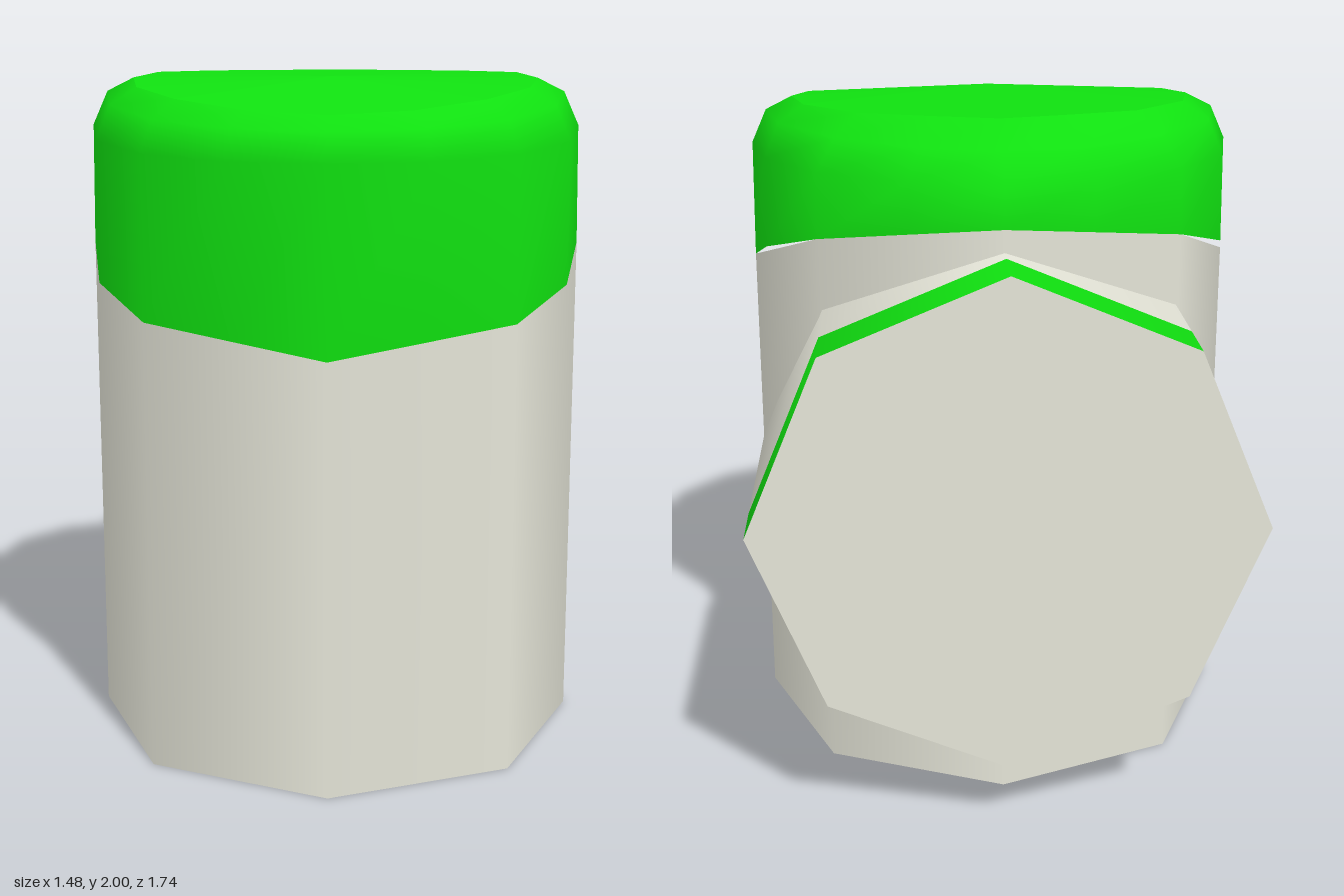
import * as THREE from 'three';

const cream = new THREE.MeshStandardMaterial({ color: 0xe6e6d9 });
const green = new THREE.MeshStandardMaterial({ color: 0x10e010 });

const R = 0.74, CZ = 0.125;                             // column radius and axis
const slantY = (z) => 1.26 + (0.865 - z) * 0.3176;      // slanted joint between column and cap

function add(group, name, geometry, material) {
  const mesh = new THREE.Mesh(geometry, material);
  mesh.name = name;
  group.add(mesh);
}

// Octagonal column, its top cut along the slanted joint
function columnGeometry() {
  const geo = new THREE.CylinderGeometry(R, R, 1, 8);
  geo.translate(0, 0.5, CZ);
  const p = geo.attributes.position;
  for (let i = 0; i < p.count; i++) {
    if (p.getY(i) > 0.5) p.setY(i, slantY(p.getZ(i)));
  }
  return geo;
}

// Cap rings, values from front (0 degrees) to back (180 degrees), mirrored across x
const rings = [
  { r: [0.74, 0.684, 0.74, 0.74, 0.74, 0.74, 0.74, 0.684, 0.74] },
  { r: [0.74, 0.73, 0.74, 0.74, 0.735, 0.735, 0.735, 0.684, 0.74],
    y: [1.79, 1.79, 1.8, 1.82, 1.85, 1.85, 1.85, 1.845, 1.845] },
  { r: [0.695, 0.69, 0.695, 0.695, 0.69, 0.69, 0.66, 0.6, 0.63],
    y: [1.87, 1.875, 1.89, 1.92, 1.95, 1.95, 1.94, 1.925, 1.925] },
  { r: [0.615, 0.6, 0.615, 0.615, 0.61, 0.61, 0.57, 0.51, 0.525],
    y: [1.91, 1.92, 1.945, 1.97, 1.99, 2, 2, 2, 2] },
];

function ringPoint(ring, i) {
  const k = i <= 8 ? i : 16 - i, a = i * Math.PI / 8;
  const z = CZ + ring.r[k] * Math.cos(a);
  return [ring.r[k] * Math.sin(a), ring.y ? ring.y[k] : slantY(z), z];
}

// Smooth cap wall with a bevelled rim
function capWall() {
  const pos = [], idx = [];
  rings.forEach((ring, j) => {
    for (let i = 0; i < 16; i++) {
      pos.push(...ringPoint(ring, i));
      if (j === 0) continue;
      const n = (i + 1) % 16, lo = (j - 1) * 16, hi = j * 16;
      idx.push(lo + i, lo + n, hi + n, lo + i, hi + n, hi + i);
    }
  });
  const geo = new THREE.BufferGeometry();
  geo.setAttribute('position', new THREE.Float32BufferAttribute(pos, 3));
  geo.setIndex(idx);
  geo.computeVertexNormals();
  return geo;
}

// Faceted cap top: level at the back, sloping down toward the front
function capTop() {
  const pos = [];
  for (let i = 0; i < 16; i++) {
    pos.push(0, 2, 0.28, ...ringPoint(rings[3], i), ...ringPoint(rings[3], (i + 1) % 16));
  }
  const geo = new THREE.BufferGeometry();
  geo.setAttribute('position', new THREE.Float32BufferAttribute(pos, 3));
  geo.computeVertexNormals();
  return geo;
}

// Octagonal branch section running along z
function branch(z0, z1, open) {
  const geo = new THREE.CylinderGeometry(0.728, 0.728, z0 - z1, 8, 1, open);
  geo.rotateX(-Math.PI / 2);
  geo.translate(0, 0.9375, (z0 + z1) / 2);
  return geo;
}

export function createModel() {
  const model = new THREE.Group();
  model.name = 'pipeTee';

  add(model, 'column', columnGeometry(), cream);

  const cap = new THREE.Group();
  cap.name = 'cap';
  add(cap, 'capWall', capWall(), green);
  add(cap, 'capTop', capTop(), green);
  model.add(cap);

  // Back branch with a coloured band and a plain end
  add(model, 'branch', branch(-0.02, -0.68, false), cream);
  add(model, 'branchBand', branch(-0.68, -0.87, true), green);
  const end = new THREE.CircleGeometry(0.728, 8);
  end.rotateY(Math.PI);
  end.translate(0, 0.9375, -0.87);
  add(model, 'branchEnd', end, cream);

  return model;
}
